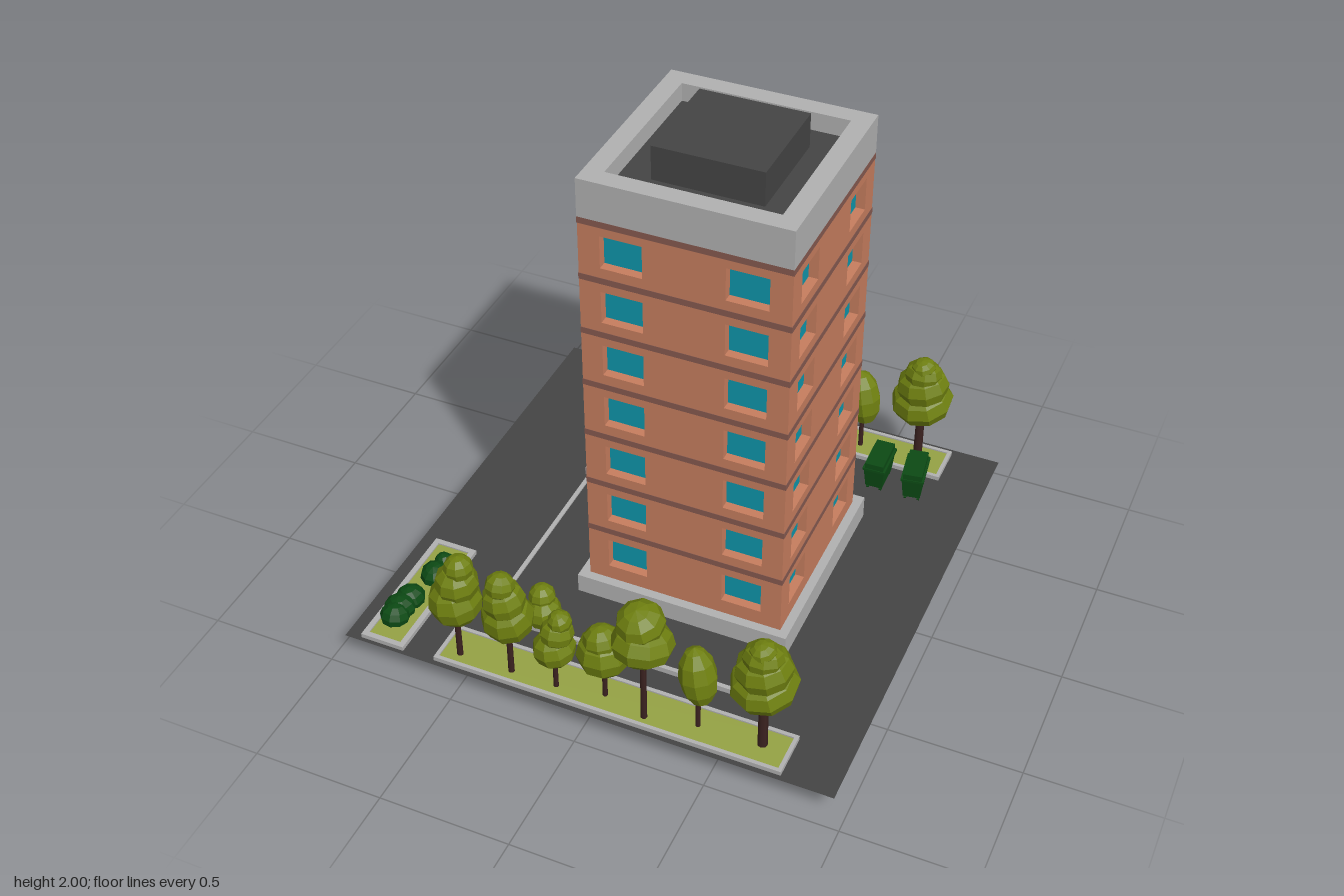
import * as THREE from 'three';

const mat = (name, color, extra = {}) => {
  const m = new THREE.MeshStandardMaterial({ color, ...extra });
  m.name = name;
  return m;
};

export function createModel() {
  const root = new THREE.Group();
  root.name = 'towerBlock';
  const asphalt = mat('asphalt', 0x444444, { side: THREE.DoubleSide });
  const concrete = mat('concrete', 0xb0b0b0);
  const brick = mat('brick', 0xc67d5e);
  const brown = mat('brownBand', 0x85594f);
  const glass = mat('glass', 0x0f95aa);
  const leaf = mat('leaf', 0x6f8010, { flatShading: true });
  const grass = mat('grass', 0x95a244);
  const bark = mat('bark', 0x3b2220);
  const darkGreen = mat('darkGreen', 0x0c4a14, { flatShading: true });
  const stone = mat('entranceStone', 0x938787);

  const add = (parent, name, geo, material, x = 0, y = 0, z = 0) => {
    const m = new THREE.Mesh(geo, material);
    m.name = name;
    m.position.set(x, y, z);
    parent.add(m);
    return m;
  };
  // Box given by its limits on each axis
  const box = (parent, name, material, x0, x1, y0, y1, z0, z1) =>
    add(parent, name, new THREE.BoxGeometry(x1 - x0, y1 - y0, z1 - z0), material,
      (x0 + x1) / 2, (y0 + y1) / 2, (z0 + z1) / 2);
  const group = (name, parent = root) => {
    const g = new THREE.Group();
    g.name = name;
    parent.add(g);
    return g;
  };
  const rect = (C, x0, x1, y0, y1) => new C([[x0, y0], [x1, y0], [x1, y1], [x0, y1]]
    .map(p => new THREE.Vector2(...p)));
  // Rectangular ring lying flat, from y0 to y1
  const ring = (parent, name, material, x0, x1, z0, z1, y0, y1, w) => {
    const s = rect(THREE.Shape, x0, x1, -z1, -z0);
    s.holes.push(rect(THREE.Path, x0 + w, x1 - w, -z1 + w, -z0 - w));
    const g = new THREE.ExtrudeGeometry(s, { depth: y1 - y0, bevelEnabled: false });
    return add(parent, name, g.rotateX(-Math.PI / 2), material, 0, y0, 0);
  };

  // Ground sheet
  add(root, 'ground', new THREE.PlaneGeometry(1.92, 1.91).rotateX(-Math.PI / 2), asphalt, 0, 0.1, -0.005);

  // Paved yard with kerb, and the plinth
  const yard = group('yard');
  box(yard, 'yardSlab', concrete, -0.525, 0.545, 0.08, 0.11, -0.435, 0.65);
  box(yard, 'yardPaving', asphalt, -0.515, 0.535, 0.11, 0.116, -0.425, 0.64);
  ring(yard, 'kerb', concrete, -0.525, 0.545, -0.435, 0.65, 0.1, 0.122, 0.017);
  for (const [x, z] of [[-0.5, -0.41], [-0.5, 0.625], [0.52, 0.625]])
    add(yard, 'kerbCorner', new THREE.CylinderGeometry(0.008, 0.008, 0.02, 8), concrete, x, 0.111, z);
  box(yard, 'plinth', concrete, -0.27, 0.565, 0.085, 0.195, -0.437, 0.405);

  // Tower, centred on its own axis
  const tower = group('tower');
  tower.position.set(0.148, 0, -0.0125);
  const H = 0.3825, pitch = 0.225, floors = 7, recess = 0.035;
  const wallShape = rect(THREE.Shape, -H, H, 0.19, 1.79);
  const windows = [];
  for (let f = 0; f < floors; f++)
    for (const s of [-1, 1]) windows.push([s * 0.226, 0.32 + f * pitch]);
  for (const [x, y] of windows)
    wallShape.holes.push(rect(THREE.Path, x - 0.077, x + 0.077, y - 0.064, y + 0.064));
  const wallGeo = new THREE.ExtrudeGeometry(wallShape, { depth: recess, bevelEnabled: false });
  const paneGeo = new THREE.BoxGeometry(0.16, 0.134, 0.008);
  for (let i = 0; i < 4; i++) {
    const side = group('facade', tower);
    side.rotation.y = i * Math.PI / 2;
    add(side, 'brickWall', wallGeo, brick, 0, 0, H - recess);
    for (const [x, y] of windows) add(side, 'windowPane', paneGeo, glass, x, y, H - recess - 0.004);
  }
  for (let f = 0; f < floors; f++)
    add(tower, 'floorBand', new THREE.BoxGeometry(2 * H + 0.003, 0.024, 2 * H + 0.003), brown, 0, 0.43 + f * pitch, 0);

  // Roof parapet, deck and plant room
  ring(tower, 'parapet', concrete, -H - 0.001, H + 0.001, -H - 0.001, H + 0.001, 1.79, 1.94, 0.072);
  box(tower, 'roofDeck', asphalt, -0.33, 0.33, 1.795, 1.87, -0.33, 0.33);
  box(tower, 'roofPlantRoom', asphalt, -0.2, 0.205, 1.87, 2, -0.207, 0.193);

  // Entrance on the tower's right side
  const porch = group('entrance');
  box(porch, 'lowerStep', stone, -0.37, -0.26, 0.1, 0.155, -0.11, 0.065);
  box(porch, 'upperStep', stone, -0.32, -0.23, 0.1, 0.197, -0.11, 0.065);
  box(porch, 'canopy', stone, -0.385, -0.235, 0.405, 0.435, -0.135, 0.09);
  for (const z of [-0.125, 0.055]) box(porch, 'doorPost', stone, -0.275, -0.235, 0.195, 0.405, z, z + 0.025);
  box(porch, 'door', brown, -0.242, -0.236, 0.195, 0.405, -0.1, 0.055);

  // Planting beds
  const bed = (name, x0, x1, z0, z1, w) => {
    const g = group(name);
    box(g, 'bedSlab', concrete, x0, x1, 0.09, 0.106, z0, z1);
    ring(g, 'bedEdge', concrete, x0, x1, z0, z1, 0.09, 0.118, w);
    box(g, 'bedGrass', grass, x0 + w, x1 - w, 0.105, 0.112, z0 + w, z1 - w);
    return g;
  };

  // Trees: [x, z, trunk foot, trunk radius, [blob radius, blob centre y, half height]...]
  const trees = [
    [-0.52, -0.8, 0.03, 0.012, [[0.1, 0.385, 0.1], [0.082, 0.475, 0.08], [0.055, 0.55, 0.052]]],
    [-0.31, -0.8, 0.04, 0.012, [[0.098, 0.385, 0.1], [0.08, 0.475, 0.08], [0.055, 0.55, 0.052]]],
    [-0.225, -0.91, 0.09, 0.009, [[0.068, 0.345, 0.07], [0.05, 0.41, 0.05]]],
    [-0.13, -0.8, 0.035, 0.01, [[0.08, 0.305, 0.075], [0.063, 0.38, 0.06], [0.045, 0.435, 0.045]]],
    [0.05, -0.83, 0.005, 0.01, [[0.1, 0.33, 0.095], [0.068, 0.395, 0.062]]],
    [0.22, -0.79, 0.085, 0.012, [[0.115, 0.48, 0.085], [0.09, 0.565, 0.075]]],
    [0.41, -0.83, 0.07, 0.01, [[0.07, 0.36, 0.12]]],
    [0.65, -0.84, 0.015, 0.019, [[0.125, 0.42, 0.09], [0.105, 0.5, 0.085], [0.075, 0.565, 0.06], [0.05, 0.605, 0.035]]],
  ];
  const blobGeo = new THREE.SphereGeometry(1, 9, 6);
  const blob = (parent, name, material, x, y, z, r, h, turn) => {
    const b = add(parent, name, blobGeo, material, x, y, z);
    b.scale.set(r, h, r);
    b.rotation.set(0.2 * Math.sin(turn), turn, 0.2 * Math.cos(turn));
  };
  const treeRow = (parent, shift) => trees.forEach(([x, z, foot, r, blobs], i) => {
    const t = group('tree', parent);
    t.position.set(x, 0, z + shift);
    const [r0, y0, h0] = blobs[0];
    add(t, 'trunk', new THREE.CylinderGeometry(r * 0.9, r, y0 - foot, 7), bark, 0, (y0 + foot) / 2, 0);
    blobs.forEach(([br, y, h], k) =>
      blob(t, 'foliage', leaf, k * 0.012 * Math.cos(i * 2), y, k * 0.012 * Math.sin(i * 2), br, h, i + k * 2));
    // Pale underside of the large crowns
    if (r0 > 0.11)
      add(t, 'crownUnderside', new THREE.CylinderGeometry(r0 * 0.6, r, 0.08, 7), grass, 0, y0 - h0 + 0.02, 0);
  });
  treeRow(bed('backBed', -0.6, 0.77, -0.93, -0.755, 0.015), 0);
  treeRow(bed('frontBed', -0.6, 0.757, 0.75, 0.93, 0.015), 1.672);

  // Shrub bed
  const shrubs = bed('shrubBed', -0.9, -0.725, 0.37, 0.935, 0.022);
  [[-0.795, 0.49, 0.042], [-0.8, 0.555, 0.058], [-0.825, 0.7, 0.058], [-0.835, 0.76, 0.062], [-0.83, 0.805, 0.058]]
    .forEach(([x, z, r], i) => blob(shrubs, 'shrub', darkGreen, x, 0.125, z, r, 0.05, i * 1.3));

  // Two waste bins with tapered bodies and sloping lids
  for (const [x, turn] of [[0.55, 0.03], [0.7, 0.15]]) {
    const bin = group('wasteBin');
    bin.position.set(x, 0, -0.655);
    bin.rotation.y = turn;
    const body = new THREE.BoxGeometry(0.085, 0.095, 0.155);
    const p = body.attributes.position;
    for (let i = 0; i < p.count; i++)
      if (p.getY(i) < 0) p.setXYZ(i, p.getX(i) * 0.8, p.getY(i), p.getZ(i) * 0.85);
    add(bin, 'binBody', body, darkGreen, 0, 0.172, 0);
    box(bin, 'binRim', darkGreen, -0.046, 0.046, 0.212, 0.222, -0.082, 0.082);
    const lid = new THREE.CylinderGeometry(0.045, 0.045, 0.16, 8, 1, false, 0, Math.PI);
    lid.rotateZ(Math.PI / 2).rotateY(Math.PI / 2).scale(1, 0.65, 1);
    const lp = lid.attributes.position;
    for (let i = 0; i < lp.count; i++) lp.setY(i, Math.abs(lp.getY(i)));
    add(bin, 'binLid', new THREE.BoxGeometry(0.075, 0.025, 0.158), darkGreen, 0, 0.234, 0);
    for (const sx of [-1, 1]) for (const sz of [-1, 1])
      add(bin, 'binWheel', new THREE.CylinderGeometry(0.01, 0.01, 0.01, 8).rotateZ(Math.PI / 2),
        darkGreen, sx * 0.026, 0.118, sz * 0.055);
  }
  return root;
}
